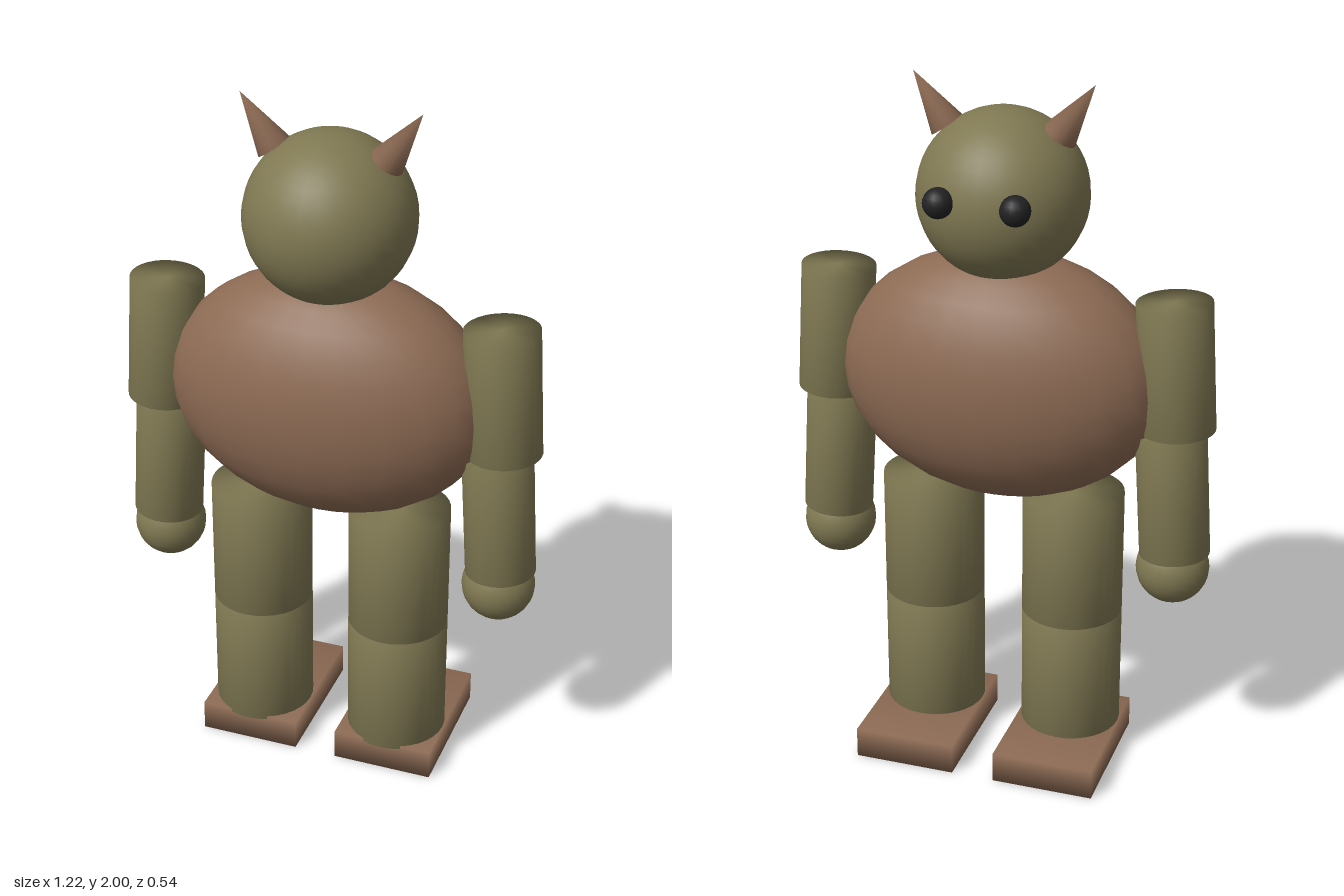
import * as THREE from 'three';
import { mergeVertices } from 'three/addons/utils/BufferGeometryUtils.js';

// Share corner vertices so that shading rolls softly over every edge
function soften(geometry) {
  geometry.deleteAttribute('normal');
  geometry.deleteAttribute('uv');
  const merged = mergeVertices(geometry, 1e-4);
  merged.computeVertexNormals();
  return merged;
}

export function createModel() {
  const model = new THREE.Group();
  model.name = 'hornedCreature';

  const olive = new THREE.MeshStandardMaterial({ color: 0x7f7852 });
  olive.name = 'olive skin';
  const brown = new THREE.MeshStandardMaterial({ color: 0x8c6a53 });
  brown.name = 'brown hide';
  const black = new THREE.MeshStandardMaterial({ color: 0x222224 });
  black.name = 'black eyes';

  function add(name, geometry, material, x, y, z, tilt = 0) {
    const mesh = new THREE.Mesh(geometry, material);
    mesh.name = name;
    mesh.position.set(x, y, z);
    mesh.rotation.z = tilt;
    model.add(mesh);
    return mesh;
  }

  // Torso and head
  const torso = add('torso', new THREE.SphereGeometry(1, 24, 16), brown, 0, 1.163, 0.01);
  torso.scale.set(0.47, 0.363, 0.26);
  add('head', new THREE.SphereGeometry(0.237, 32, 24), olive, 0, 1.683, 0.0125);

  // Shared limb shapes
  const limb = (radius, height) => soften(new THREE.CylinderGeometry(radius, radius, height, 32));
  const upperArm = limb(0.105, 0.37);
  const forearm = limb(0.1, 0.37);
  const legPart = limb(0.145, 0.373);
  const hand = new THREE.SphereGeometry(0.104, 24, 16);
  const eye = new THREE.SphereGeometry(0.042, 16, 12);
  const horn = soften(new THREE.ConeGeometry(0.05, 0.172, 20));
  const foot = soften(new THREE.BoxGeometry(0.295, 0.09, 0.42));

  for (const [side, s] of [['left', 1], ['right', -1]]) {
    // Face, turned toward -z
    add(side + 'Eye', eye, black, s * 0.106, 1.713, -0.211);
    add(side + 'Horn', horn, brown, s * 0.205, 1.929, 0.0125, -s * 0.59);

    // Arm, leaning slightly outward at the bottom
    add(side + 'UpperArm', upperArm, olive, s * 0.495, 1.243, 0.01, s * 0.06);
    add(side + 'Forearm', forearm, olive, s * 0.498, 0.866, 0.01, s * 0.06);
    add(side + 'Hand', hand, olive, s * 0.505, 0.634, 0.01);

    // Leg and forward-reaching foot
    add(side + 'Thigh', legPart, olive, s * 0.21, 0.6395, 0.0135);
    add(side + 'Shin', legPart, olive, s * 0.21, 0.2665, 0.0135);
    add(side + 'Foot', foot, brown, s * 0.21, 0.045, -0.063);
  }

  return model;
}
